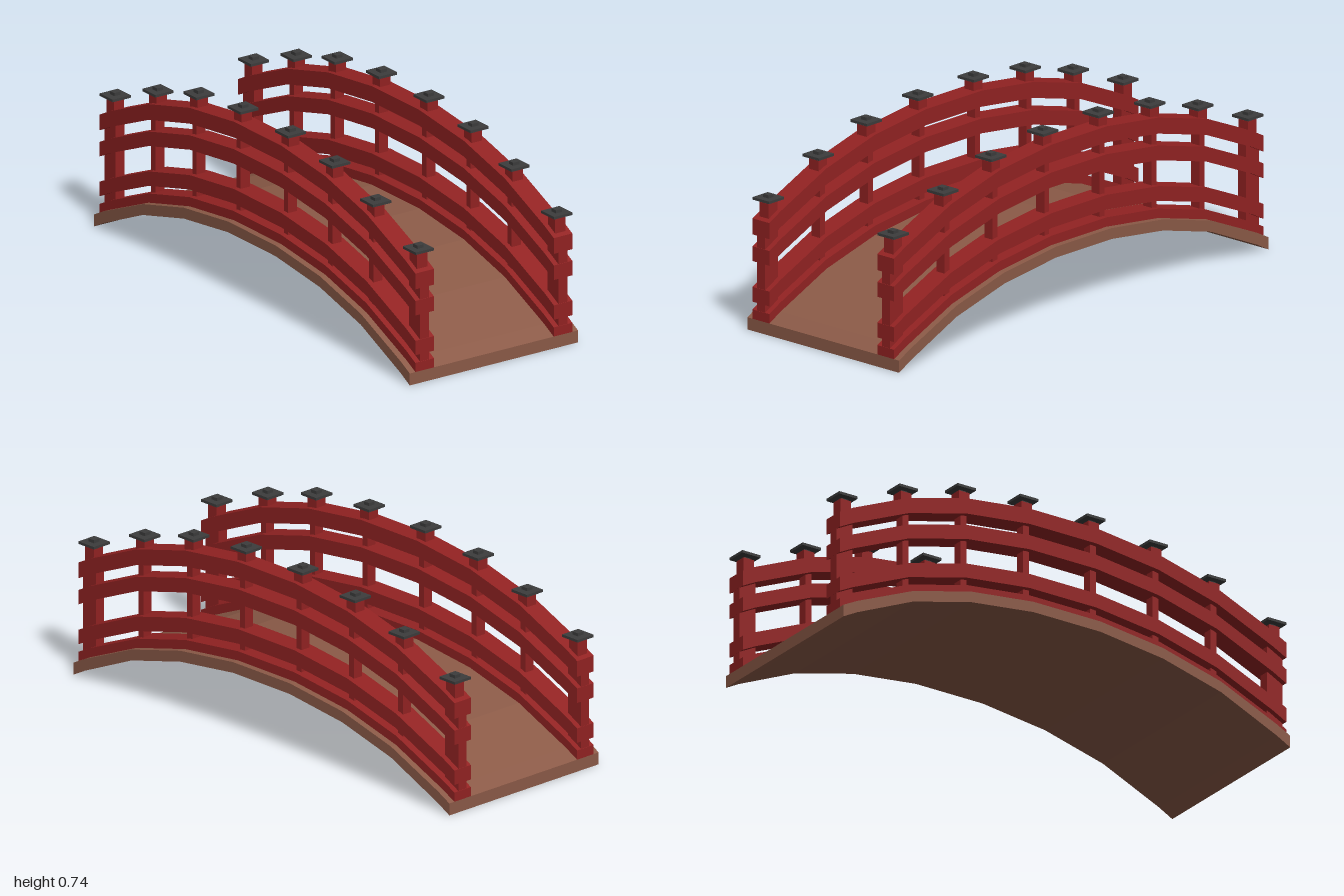
import * as THREE from 'three';

// Half of the arched walking surface as [z, top y, underside y]; mirrored in z
const ARCH = [[1, 0.047, 0], [0.94, 0.078, 0.032], [0.69, 0.185, 0.142], [0.43, 0.252, 0.209], [0.15, 0.285, 0.243]];
const RAIL_X = 0.3125;

const lineOf = (k) => [
  ...ARCH.map((p) => [-p[0], p[k]]),
  ...[...ARCH].reverse().map((p) => [p[0], p[k]]),
];

// Arched band with a side profile between two polylines, extruded across x
function band(lower, upper, width, material, name) {
  const pts = [...lower, ...[...upper].reverse()].map(([z, y]) => new THREE.Vector2(z, y));
  const geo = new THREE.ExtrudeGeometry(new THREE.Shape(pts), { depth: width, bevelEnabled: false });
  geo.translate(0, 0, -width / 2);
  geo.rotateY(-Math.PI / 2);
  const mesh = new THREE.Mesh(geo, material);
  mesh.name = name;
  return mesh;
}

// Box placed by its bottom and top heights
function block(w, d, y0, y1, z, material, name) {
  const mesh = new THREE.Mesh(new THREE.BoxGeometry(w, y1 - y0, d), material);
  mesh.position.set(0, (y0 + y1) / 2, z);
  mesh.name = name;
  return mesh;
}

export function createModel() {
  const red = new THREE.MeshStandardMaterial({ color: 0x922222 });
  red.name = 'red paint';
  const wood = new THREE.MeshStandardMaterial({ color: 0x8b5a47 });
  wood.name = 'brown wood';
  const iron = new THREE.MeshStandardMaterial({ color: 0x3c3c3c });
  iron.name = 'dark metal';

  const bridge = new THREE.Group();
  bridge.name = 'archedBridge';
  const top = lineOf(1);
  const raised = (h) => top.map(([z, y]) => [z, y + h]);

  bridge.add(band(lineOf(2), top, 0.76, wood, 'deck'));

  // Rails: heights above the deck
  const rails = [
    ['kickRail', 0, 0.036],
    ['lowerRail', 0.066, 0.123],
    ['middleRail', 0.223, 0.28],
    ['handRail', 0.326, 0.388],
  ];
  // Posts: z, deck height there, top of the stub above the hand rail
  const posts = [
    [0.96, 0.068, 0.5],
    [0.69, 0.185, 0.603],
    [0.43, 0.252, 0.674],
    [0.15, 0.285, 0.705],
  ];

  for (const side of [1, -1]) {
    const railing = new THREE.Group();
    railing.name = side > 0 ? 'leftRailing' : 'rightRailing';
    railing.position.x = side * RAIL_X;
    for (const [name, h0, h1] of rails) railing.add(band(raised(h0), raised(h1), 0.084, red, name));

    for (const end of [1, -1]) {
      posts.forEach(([z, deckY, stubTop], i) => {
        // Wide end posts, slim ones in between
        if (i === 0) railing.add(block(0.041, 0.07, 0.05, 0.43, end * 0.964, red, 'endPost'));
        else railing.add(block(0.041, 0.027, deckY - 0.02, deckY + 0.37, end * z, red, 'post'));
        railing.add(block(0.047, 0.047, deckY + 0.35, stubTop, end * z, red, 'postTop'));
        // Square cap plate with a small knob through it
        railing.add(block(0.082, 0.082, stubTop + 0.008, stubTop + 0.018, end * z, iron, 'capPlate'));
        railing.add(block(0.028, 0.028, stubTop - 0.003, stubTop + 0.03, end * z, iron, 'capKnob'));
      });
    }
    bridge.add(railing);
  }
  return bridge;
}
